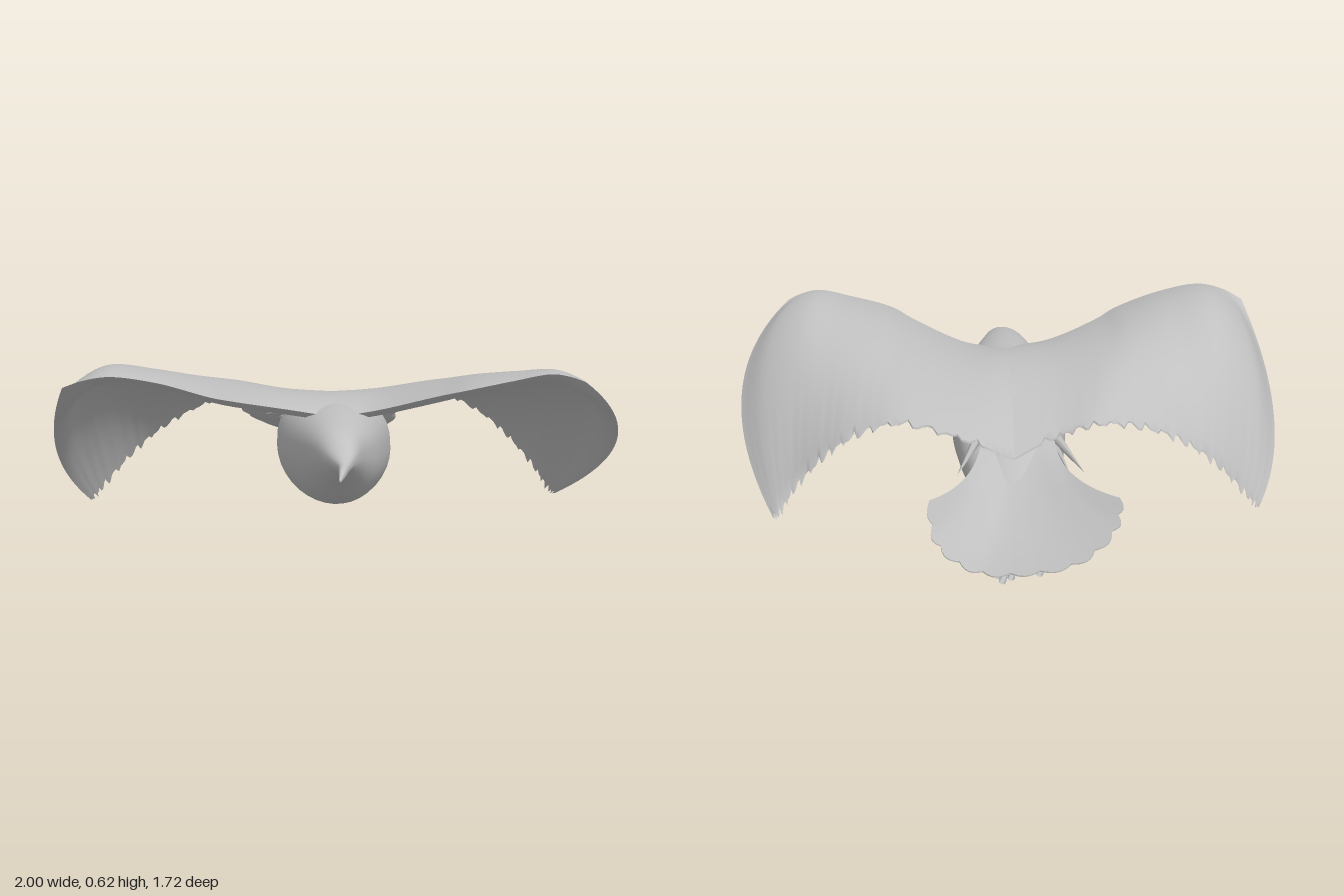
import * as THREE from 'three';
import { toCreasedNormals } from 'three/addons/utils/BufferGeometryUtils.js';

const V = (p) => new THREE.Vector3(...p);
const plumage = new THREE.MeshStandardMaterial({ color: 0xc0c0c0, side: THREE.DoubleSide });
plumage.name = 'plumage grey';

function part(name, geometry) {
  const mesh = new THREE.Mesh(geometry, plumage);
  mesh.name = name;
  return mesh;
}

// Skins a list of closed rings (equal length arrays of Vector3)
function skin(rings, crease) {
  const n = rings[0].length, index = [];
  for (let i = 0; i < rings.length - 1; i++) {
    for (let j = 0; j < n; j++) {
      const a = i * n + j, b = i * n + (j + 1) % n;
      index.push(a, b, a + n, b, b + n, a + n);
    }
  }
  const g = new THREE.BufferGeometry().setFromPoints(rings.flat());
  g.setIndex(index);
  if (crease) return toCreasedNormals(g, crease);
  g.computeVertexNormals();
  return g;
}

// Smooth arc that passes through front, middle and back points
function arcThrough(a, m, b) {
  const control = m.clone().multiplyScalar(2).addScaledVector(a, -0.5).addScaledVector(b, -0.5);
  return new THREE.QuadraticBezierCurve3(a, control, b);
}

// Feathered surface: each station is [front, middle, back]; fringe(u) moves the back edge along the chord
function feathered(stations, { cols, rows, thick, under, fringe }) {
  const rails = [0, 1, 2].map((k) => new THREE.CatmullRomCurve3(stations.map((s) => V(s[k]))));
  const rings = [];
  for (let i = 0; i <= cols; i++) {
    const u = i / cols;
    const chord = arcThrough(...rails.map((r) => r.getPoint(u)));
    const dir = chord.getTangent(1);
    const upper = [], lower = [];
    for (let j = 0; j <= rows; j++) {
      const v = j / rows;
      const p = chord.getPoint(v).addScaledVector(dir, fringe(u, i) * v ** 8);
      upper.push(p);
      const t = thick * Math.min(1, Math.sqrt(v * 8)) * (1 - 0.9 * v) * (1 - u ** 20);
      if (j > 0) lower.unshift(p.clone().addScaledVector(under(u), t + 0.002));
    }
    rings.push([...upper, ...lower]);
  }
  return skin(rings, 0.9);
}

// Body stations: z, centre x, bottom y, top y, half width
const bodyRows = [
  [0.86, 0.15, 0.318, 0.33, 0.004], [0.81, 0.147, 0.317, 0.35, 0.012], [0.75, 0.14, 0.318, 0.362, 0.02],
  [0.7, 0.125, 0.31, 0.385, 0.042], [0.65, 0.108, 0.28, 0.415, 0.065], [0.58, 0.088, 0.24, 0.437, 0.09],
  [0.4, 0.045, 0.14, 0.46, 0.148], [0.2, -0.005, 0.08, 0.465, 0.192], [0, -0.045, 0.052, 0.452, 0.212],
  [-0.2, -0.09, 0.063, 0.38, 0.185], [-0.35, -0.125, 0.08, 0.28, 0.135],
  [-0.47, -0.155, 0.097, 0.2, 0.085], [-0.58, -0.18, 0.108, 0.145, 0.035],
];
function bodyGeometry() {
  const a = new THREE.CatmullRomCurve3(bodyRows.map((r) => V([r[1], r[2], r[0]])));
  const b = new THREE.CatmullRomCurve3(bodyRows.map((r) => V([r[4], r[3], r[0]])));
  const rings = [];
  for (let i = 0; i <= 60; i++) {
    const lo = a.getPoint(i / 60), hi = b.getPoint(i / 60);
    const cy = (lo.y + hi.y) / 2, ry = (hi.y - lo.y) / 2;
    rings.push(Array.from({ length: 36 }, (_, j) => {
      const t = (j / 36) * Math.PI * 2, s = Math.sin(t);
      // broad, flattened back over a round belly
      const h = s > 0 ? s ** 0.75 : s;
      return new THREE.Vector3(lo.x + hi.x * Math.cos(t), cy + ry * h, lo.z);
    }));
  }
  rings.unshift(rings[0].map(() => V([0.15, 0.322, 0.862])));
  rings.push(rings[rings.length - 1].map(() => V([-0.185, 0.125, -0.6])));
  return skin(rings);
}

// Wing stations from the shared line along the back out to the tip
const backLine = [[0.04, 0.435, 0.39], [-0.04, 0.463, 0.06], [-0.14, 0.305, -0.36]];
const leftWing = [
  backLine,
  [[0.18, 0.455, 0.34], [0.12, 0.468, 0], [0.04, 0.365, -0.37]],
  [[0.4, 0.52, 0.38], [0.35, 0.515, 0.02], [0.28, 0.4, -0.36]],
  [[0.5, 0.55, 0.42], [0.49, 0.535, 0.03], [0.45, 0.33, -0.36]],
  [[0.65, 0.585, 0.41], [0.63, 0.53, 0.03], [0.57, 0.23, -0.36]],
  [[0.78, 0.61, 0.39], [0.76, 0.505, 0.03], [0.67, 0.11, -0.37]],
  [[0.84, 0.6, 0.37], [0.89, 0.43, 0.03], [0.72, 0.025, -0.4]],
  [[0.89, 0.58, 0.345], [0.985, 0.31, 0.02], [0.74, 0.01, -0.4]],
];
const rightWing = [
  backLine,
  [[-0.11, 0.46, 0.42], [-0.2, 0.475, 0.1], [-0.27, 0.36, -0.27]],
  [[-0.28, 0.51, 0.56], [-0.38, 0.515, 0.18], [-0.42, 0.4, -0.22]],
  [[-0.34, 0.535, 0.63], [-0.48, 0.54, 0.26], [-0.58, 0.36, -0.13]],
  [[-0.5, 0.59, 0.7], [-0.62, 0.555, 0.32], [-0.72, 0.28, -0.06]],
  [[-0.65, 0.615, 0.75], [-0.77, 0.55, 0.36], [-0.83, 0.18, -0.01]],
  [[-0.74, 0.6, 0.755], [-0.9, 0.44, 0.37], [-0.93, 0.06, 0.03]],
  [[-0.82, 0.57, 0.735], [-0.99, 0.26, 0.34], [-0.97, 0.01, 0.04]],
];
// Tail fan stations from the right edge to the left edge, dished in the middle
const tailFan = [
  [[-0.26, 0.33, -0.24], [-0.36, 0.285, -0.42], [-0.55, 0.29, -0.58]],
  [[-0.22, 0.33, -0.24], [-0.35, 0.25, -0.48], [-0.545, 0.225, -0.68]],
  [[-0.18, 0.33, -0.24], [-0.29, 0.205, -0.53], [-0.45, 0.15, -0.79]],
  [[-0.14, 0.33, -0.24], [-0.2, 0.18, -0.55], [-0.27, 0.11, -0.84]],
  [[-0.1, 0.33, -0.24], [-0.12, 0.18, -0.55], [-0.1, 0.11, -0.85]],
  [[-0.05, 0.33, -0.24], [-0.04, 0.225, -0.54], [0.03, 0.18, -0.82]],
  [[0, 0.33, -0.24], [0.005, 0.275, -0.48], [0.085, 0.285, -0.72]],
];

const tube = (points, r) => new THREE.TubeGeometry(new THREE.CatmullRomCurve3(points.map(V)), 10, r, 8);

// Trailing leg with closed toes; x is the foot's position
function foot(name, hipX, x, z, y) {
  const g = new THREE.Group();
  g.name = name;
  g.add(part('shank', tube([[hipX, 0.13, -0.38], [(hipX + x) / 2, 0.1, -0.46], [x, y + 0.04, z + 0.17]], 0.017)));
  [-1, 0, 1].forEach((k) => {
    g.add(part('toe', tube([[x, y + 0.04, z + 0.18], [x + k * 0.016, y + 0.025, z + 0.09],
      [x + k * 0.024, y, z + Math.abs(k) * 0.03]], 0.012)));
  });
  return g;
}

// Thin loose feather between two points
function quill(from, to) {
  const a = V(from), d = V(to).sub(a);
  const m = part('looseFeather', new THREE.ConeGeometry(0.018, d.length(), 6));
  m.position.copy(a).addScaledVector(d, 0.5);
  m.quaternion.setFromUnitVectors(new THREE.Vector3(0, 1, 0), d.normalize());
  return m;
}

export function createModel() {
  const bird = new THREE.Group();
  bird.name = 'flyingBird';
  bird.add(part('bodyHeadAndBeak', bodyGeometry()));

  // Wings with ragged trailing feathers
  [['leftWing', leftWing, 1], ['rightWing', rightWing, -1]].forEach(([name, stations, side]) => {
    bird.add(part(name, feathered(stations, {
      cols: 96, rows: 24, thick: 0.055,
      under: (u) => new THREE.Vector3(-side * u * u, -1, -0.3).normalize(),
      fringe: (u, i) => (u > 0.97 || u < 0.1 ? 0 : ((i % 5) / 5 - 0.5) * 0.035 + 0.006 * Math.sin(i * 1.7)),
    })));
  });

  // Tail fan with scalloped feather ends
  bird.add(part('tail', feathered(tailFan, {
    cols: 88, rows: 16, thick: 0.025,
    under: () => new THREE.Vector3(0, -1, 0),
    fringe: (u) => 0.022 * Math.abs(Math.sin(u * Math.PI * 11)) - 0.012,
  })));

  // Loose feathers where wings meet the tail
  bird.add(quill([-0.27, 0.33, -0.23], [-0.39, 0.28, -0.38]), quill([-0.24, 0.32, -0.2], [-0.34, 0.27, -0.38]));
  bird.add(quill([0.01, 0.33, -0.28], [0.035, 0.28, -0.49]));

  bird.add(foot('leftFoot', -0.13, -0.175, -0.74, 0.02));
  bird.add(foot('rightFoot', -0.2, -0.29, -0.68, 0.03));
  return bird;
}
